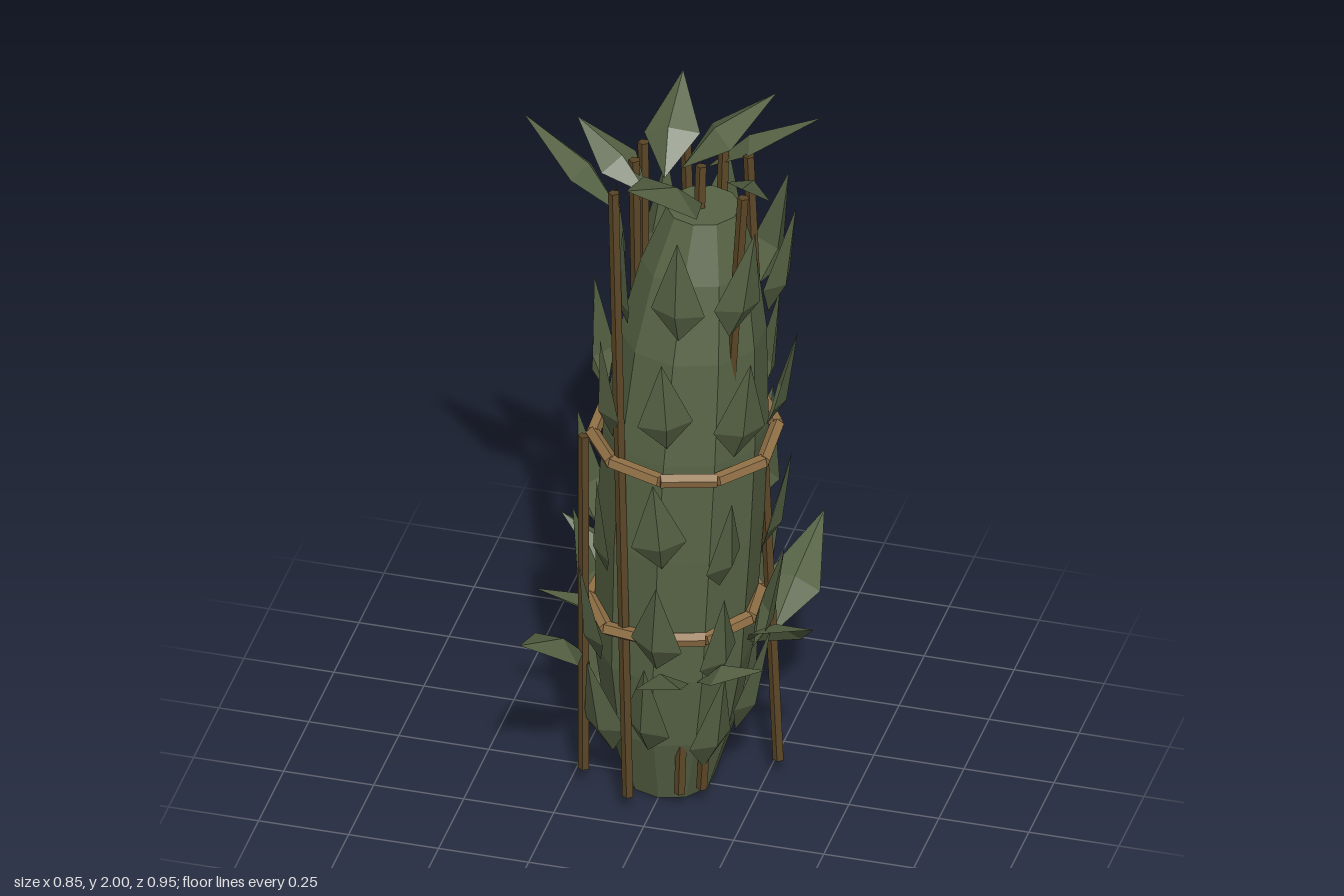
import * as THREE from 'three';

const V = (x, y, z) => new THREE.Vector3(x, y, z);

// Axis of the leaning trunk, and its radius at a given height
const PROFILE = [[0.12, 0], [0.18, 0.2], [0.214, 0.42], [0.225, 0.8], [0.222, 1.1], [0.198, 1.4], [0.155, 1.62], [0.1, 1.78]];
const axis = y => V(0.01 * y + 0.016 * y * y, 0, -0.015 - 0.03 * y - 0.01 * y * y);

export function createModel() {
  const group = new THREE.Group();
  const leafGreen = new THREE.MeshStandardMaterial({ color: 0x576345, flatShading: true, side: THREE.DoubleSide });
  leafGreen.name = 'leafGreen';
  const poleBrown = new THREE.MeshStandardMaterial({ color: 0x594525, flatShading: true });
  poleBrown.name = 'poleBrown';
  const bandTan = new THREE.MeshStandardMaterial({ color: 0x907046, flatShading: true });
  bandTan.name = 'bandTan';

  let seed = 7;
  const rand = () => (seed = (seed * 16807) % 2147483647) / 2147483647;
  const jitter = a => (rand() - 0.5) * 2 * a;

  const add = (geometry, material, name) => {
    const mesh = new THREE.Mesh(geometry, material);
    mesh.name = name;
    group.add(mesh);
    return mesh;
  };

  // Kite-shaped leaf folded along a raised ridge
  function leaf(base, tip, width, ridge, up, name, widest) {
    const dir = tip.clone().sub(base);
    const side = dir.clone().cross(up).normalize();
    const normal = side.clone().cross(dir).normalize();
    const mid = base.clone().addScaledVector(dir, widest);
    const left = mid.clone().addScaledVector(side, -width / 2);
    const right = mid.clone().addScaledVector(side, width / 2);
    const crest = mid.clone().addScaledVector(normal, ridge);
    const points = [base, crest, left, base, right, crest, left, crest, tip, crest, right, tip];
    const geometry = new THREE.BufferGeometry().setFromPoints(points);
    geometry.computeVertexNormals();
    add(geometry, leafGreen, name);
  }

  // Straight round bar between two points
  function bar(a, b, radius, sides, material, name) {
    const d = b.clone().sub(a);
    const mesh = add(new THREE.CylinderGeometry(radius, radius, d.length(), sides), material, name);
    mesh.position.copy(a).add(b).multiplyScalar(0.5);
    mesh.quaternion.setFromUnitVectors(V(0, 1, 0), d.normalize());
  }

  // Trunk: faceted lathe sheared along the leaning axis
  const profile = [[0, 0], ...PROFILE, [0, 1.78]].map(([r, y]) => new THREE.Vector2(r, y));
  const trunk = new THREE.LatheGeometry(profile, 10);
  const pos = trunk.attributes.position;
  for (let i = 0; i < pos.count; i++) {
    const c = axis(pos.getY(i));
    pos.setXYZ(i, pos.getX(i) + c.x, pos.getY(i), pos.getZ(i) + c.z);
  }
  trunk.computeVertexNormals();
  add(trunk, leafGreen, 'trunk');

  // Rows of upright leaves around the trunk in eight columns: base height, base radius, tip radius
  const ROWS = [[0.15, 0.175, 0.265], [0.44, 0.22, 0.295], [0.76, 0.23, 0.3], [1.13, 0.225, 0.29], [1.48, 0.2, 0.25]];
  const COLUMNS = 8;
  for (const [row, baseRadius, tipRadius] of ROWS) {
    for (let k = 0; k < COLUMNS; k++) {
      const angle = k / COLUMNS * Math.PI * 2 + jitter(0.1);
      const y = row + (k % 2 ? -0.02 : 0.01) + jitter(0.025);
      const out = V(Math.sin(angle), 0, Math.cos(angle));
      const tangent = V(out.z, 0, -out.x);
      const height = 0.32 + jitter(0.025);
      const at = (h, r) => axis(h).addScaledVector(out, r).add(V(0, h, 0));
      const facing = out.clone().addScaledVector(tangent, jitter(0.45));
      const tip = at(y + height, tipRadius).addScaledVector(tangent, jitter(0.03));
      leaf(at(y, baseRadius), tip, 0.15, 0.03, facing, 'trunkLeaf', 0.3);
    }
  }

  // Flared leaves low on the trunk: base, tip, width
  const LOW = [
    [0.0, 0.43, 0.21, 0.165, 0.61, 0.475, 0.15], [0.25, 0.42, -0.13, 0.3, 0.61, -0.475, 0.15],
    [0.2, 0.43, -0.06, 0.425, 0.6, 0.085, 0.17], [-0.12, 0.43, -0.23, -0.38, 0.6, -0.29, 0.14],
    [-0.22, 0.4, 0.06, -0.32, 0.58, 0.34, 0.16], [0.12, 0.42, 0.15, 0.335, 0.55, 0.235, 0.13],
    [-0.19, 0.43, -0.07, -0.36, 0.57, 0.045, 0.13],
  ];
  // Crown leaves spreading from the top
  const CROWN = [
    [-0.13, 1.78, 0.0, -0.425, 2.0, -0.08, 0.17], [0.07, 1.8, -0.08, -0.06, 2.0, 0.21, 0.21],
    [0.04, 1.81, -0.24, 0.345, 1.99, -0.29, 0.16], [-0.06, 1.8, -0.17, -0.08, 1.98, -0.43, 0.16],
    [-0.02, 1.82, -0.2, 0.2, 2.0, -0.36, 0.17], [0.18, 1.78, -0.19, 0.22, 1.96, 0.06, 0.13],
    [-0.07, 1.82, -0.05, -0.3, 1.96, -0.165, 0.13],
  ];
  const flare = (list, name) => list.forEach(([a, b, c, d, e, f, w]) =>
    leaf(V(a, b, c), V(d, e, f), w, 0.035, V(jitter(0.3), 1, jitter(0.3)), name, 0.42));
  flare(LOW, 'lowFlaredLeaf');
  flare(CROWN, 'crownLeaf');

  // Poles leaning along the trunk: bottom x, z then top x, y, z
  const POLES = [
    [-0.06, 0.19, -0.13, 1.9, 0.08], [-0.21, 0.09, -0.225, 1.08, 0.04], [0.28, -0.09, 0.17, 1.9, -0.19],
    [0.07, 0.14, 0.06, 1.9, -0.11], [0.12, 0.1, 0.21, 1.9, 0.01], [0.05, -0.2, -0.04, 1.9, -0.31],
    [-0.09, -0.1, -0.12, 1.9, -0.18], [0.08, -0.09, 0.09, 1.9, -0.23], [-0.08, -0.04, -0.12, 1.9, -0.09],
  ];
  for (const [bx, bz, tx, ty, tz] of POLES) bar(V(bx, 0.05, bz), V(tx, ty, tz), 0.016, 5, poleBrown, 'pole');

  // Bands: loops of short sticks tied around the trunk
  for (const [height, radius] of [[0.565, 0.23], [1.08, 0.252]]) {
    const knots = [];
    for (let k = 0; k < 10; k++) {
      const angle = k / 10 * Math.PI * 2;
      const r = radius + jitter(0.01);
      knots.push(axis(height).add(V(Math.sin(angle) * r, height + jitter(0.012), Math.cos(angle) * r)));
    }
    knots.forEach((p, k) => bar(p, knots[(k + 1) % knots.length], 0.02, 5, bandTan, 'band'));
  }
  return group;
}
